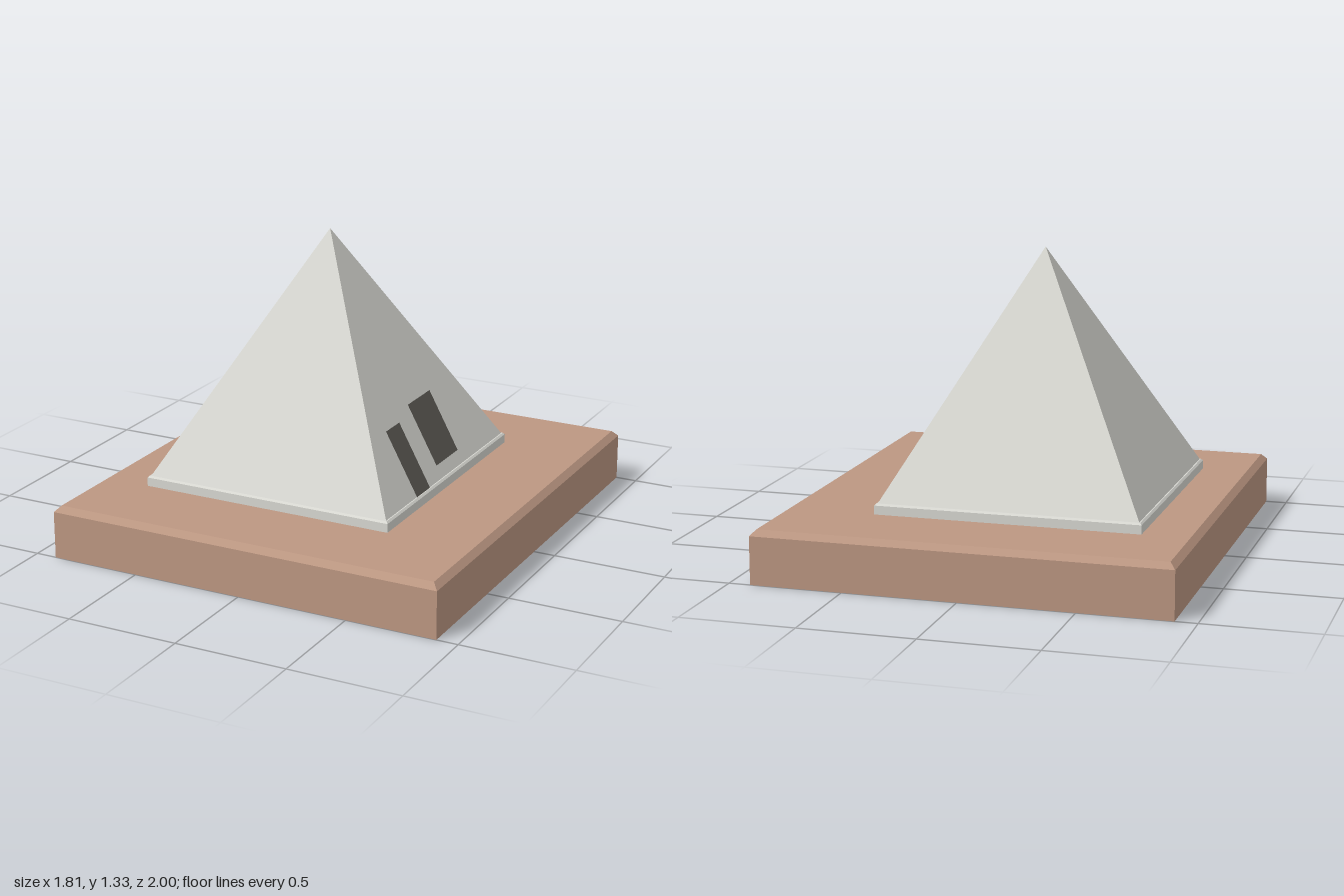
import * as THREE from 'three';

// Flat-sided shell through rectangular rings [halfX, halfZ, y], open below, closed on top
function shell(rings) {
  const signs = [[1, 1], [1, -1], [-1, -1], [-1, 1]];
  const loops = rings.map(([hx, hz, y]) => signs.map(([sx, sz]) => [sx * hx, y, sz * hz]));
  const pos = [];
  const quad = (a, b, c, d) => pos.push(...a, ...b, ...c, ...a, ...c, ...d);
  for (let k = 0; k < loops.length - 1; k++) {
    for (let i = 0; i < 4; i++) {
      const j = (i + 1) % 4;
      quad(loops[k][i], loops[k][j], loops[k + 1][j], loops[k + 1][i]);
    }
  }
  if (rings[rings.length - 1][0] > 0.01) quad(...loops[loops.length - 1]);
  const geo = new THREE.BufferGeometry();
  geo.setAttribute('position', new THREE.Float32BufferAttribute(pos, 3));
  geo.computeVertexNormals();
  return geo;
}

function material(name, color) {
  const m = new THREE.MeshStandardMaterial({ color, side: THREE.DoubleSide });
  m.name = name;
  return m;
}

export function createModel() {
  const group = new THREE.Group();
  const clay = material('clay', 0xbc9782);
  const stone = material('pale stone', 0xd8d8d2);
  const dark = material('dark opening', 0x5d5a54);
  const add = (name, geo, mat, x = 0) => {
    const mesh = new THREE.Mesh(geo, mat);
    mesh.name = name;
    mesh.position.x = x;
    group.add(mesh);
  };

  // Hollow slab with a chamfered upper edge
  add('base', shell([[0.905, 1, 0], [0.905, 1, 0.21], [0.88, 0.975, 0.236]]), clay);

  // Low plinth and the pyramid standing on it
  const cx = -0.09, baseY = 0.283, apexY = 1.328, halfX = 0.572;
  add('plinth', shell([[0.585, 0.61, 0.236], [0.585, 0.61, 0.275], [0.577, 0.602, baseY]]), stone, cx);
  add('pyramid', shell([[halfX, 0.597, baseY], [0, 0, apexY]]), stone, cx);

  // Thin openings lying on the left slope: z range and y range
  const slopeX = y => cx + halfX * (apexY - y) / (apexY - baseY) + 0.008;
  const opening = (name, z0, z1, y0, y1) => {
    const geo = new THREE.PlaneGeometry(1, 1);
    const p = geo.attributes.position;
    for (let i = 0; i < p.count; i++) {
      const z = p.getX(i) < 0 ? z1 : z0;
      const y = p.getY(i) < 0 ? y0 : y1;
      p.setXYZ(i, slopeX(y), y, z);
    }
    geo.computeVertexNormals();
    add(name, geo, dark);
  };
  opening('door', 0.182, 0.31, 0.287, 0.56);
  opening('window', -0.165, 0.055, 0.34, 0.598);

  return group;
}
